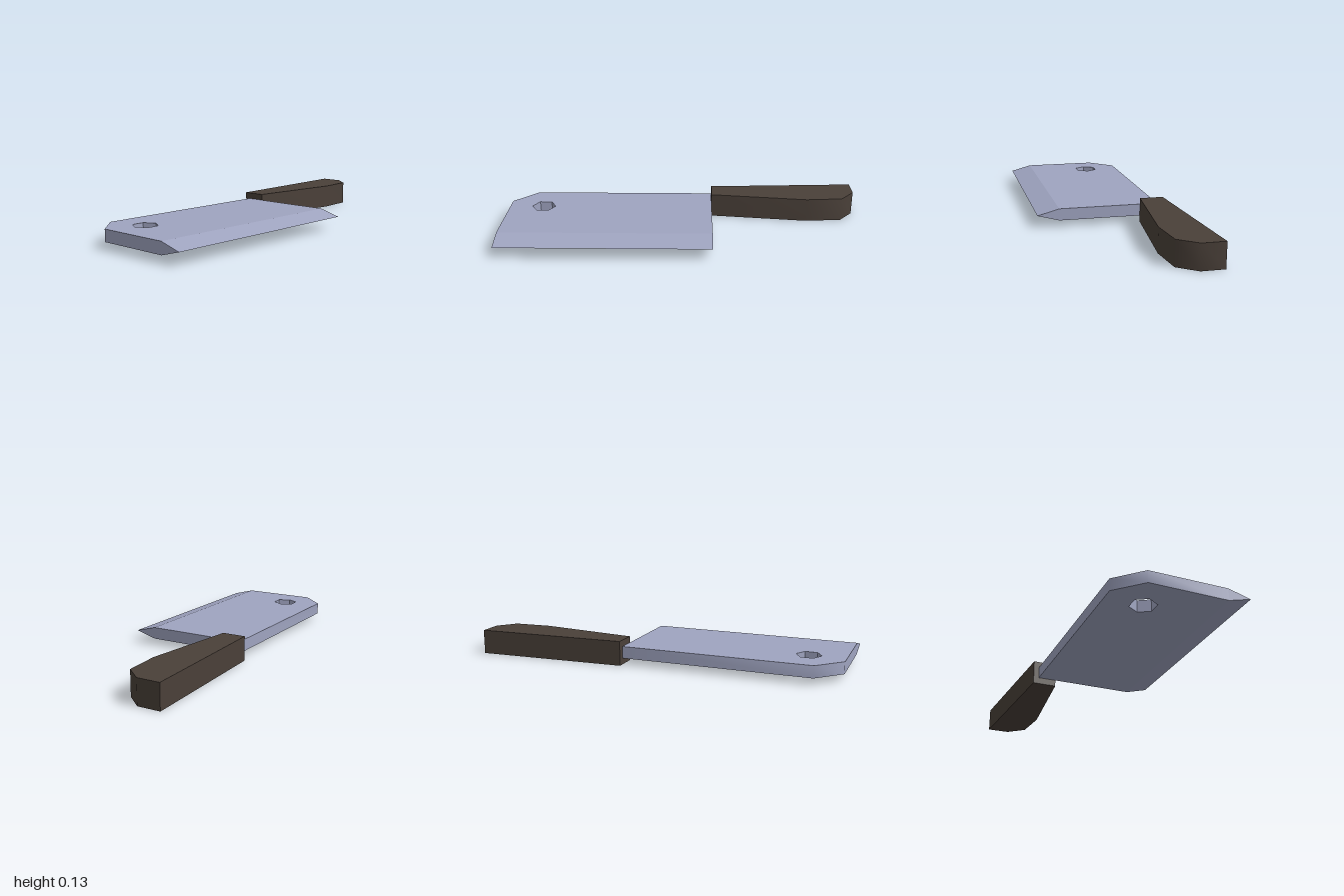
import * as THREE from 'three';
import { toCreasedNormals } from 'three/addons/utils/BufferGeometryUtils.js';

const steel = new THREE.MeshStandardMaterial({ color: 0x9fa4c0 });
steel.name = 'steel';
const darkWood = new THREE.MeshStandardMaterial({ color: 0x4a4039 });
darkWood.name = 'darkWood';

// Plan outlines are [x, z]; the shape plane is turned to lie flat.
const planPoints = (points) => points.map(([x, z]) => new THREE.Vector2(x, -z));

// Straight-sided slab rising from y0 to y1, soft across shallow corners.
function slab(name, outline, y0, y1, material, hole) {
  const shape = new THREE.Shape(planPoints(outline));
  if (hole) shape.holes.push(new THREE.Path(planPoints(hole)));
  const geometry = new THREE.ExtrudeGeometry(shape, { depth: y1 - y0, bevelEnabled: false });
  geometry.rotateX(-Math.PI / 2).translate(0, y0, 0);
  const mesh = new THREE.Mesh(toCreasedNormals(geometry, 0.9), material);
  mesh.name = name;
  return mesh;
}

export function createModel() {
  const model = new THREE.Group();
  model.name = 'cleaver';
  const left = -1, right = 0.163, edgeZ = 0.25;
  const bottom = 0.035, top = 0.1;

  // Blade plate with a clipped back corner and a hexagonal hanging hole
  const hole = [];
  for (let i = 0; i < 6; i++) {
    const a = (i * Math.PI) / 3;
    hole.push([-0.805 + 0.067 * Math.cos(a), -0.1 + 0.069 * Math.sin(a)]);
  }
  model.add(slab('blade',
    [[left, edgeZ], [right, edgeZ], [right, -0.3], [-0.87, -0.3], [left, -0.168]],
    bottom, top, steel, hole));

  // Wedge-shaped cutting edge
  const wedge = new THREE.Shape([
    new THREE.Vector2(-edgeZ, bottom),
    new THREE.Vector2(-edgeZ, top),
    new THREE.Vector2(-0.37, (bottom + top) / 2),
  ]);
  const edgeGeometry = new THREE.ExtrudeGeometry(wedge, { depth: right - left, bevelEnabled: false });
  edgeGeometry.rotateY(Math.PI / 2).translate(left, 0, 0);
  const edge = new THREE.Mesh(edgeGeometry, steel);
  edge.name = 'cuttingEdge';
  model.add(edge);

  // Handle, widening towards the butt
  model.add(slab('handle',
    [[0.165, -0.2], [0.715, -0.134], [0.92, -0.15], [1, -0.245], [1, -0.37], [0.165, -0.33]],
    0, 0.134, darkWood));

  return model;
}
